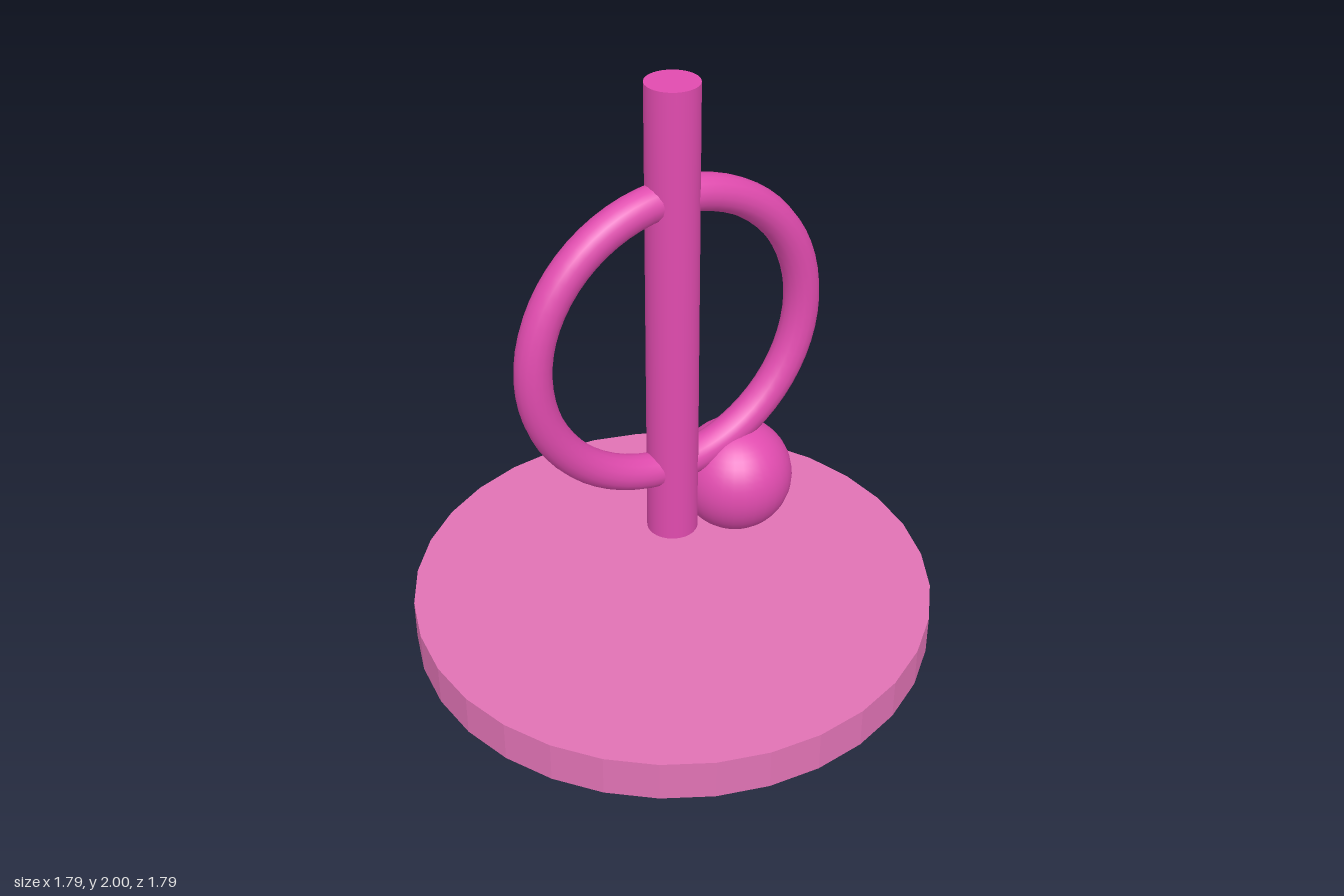
import * as THREE from 'three';

const brightPink = new THREE.MeshStandardMaterial({ color: 0xe04bae });
brightPink.name = 'brightPink';
const dustyPink = new THREE.MeshStandardMaterial({ color: 0xe072b4, flatShading: true });
dustyPink.name = 'dustyPink';

export function createModel() {
  const model = new THREE.Group();
  model.name = 'ringSculpture';

  const add = (name, geometry, material, x, y, z) => {
    const mesh = new THREE.Mesh(geometry, material);
    mesh.name = name;
    mesh.position.set(x, y, z);
    model.add(mesh);
  };

  // Faceted disc on the ground
  add('base', new THREE.CylinderGeometry(0.893, 0.893, 0.144, 32), dustyPink, 0, 0.072, 0);

  // Upright post, floating above the base
  add('post', new THREE.CylinderGeometry(0.086, 0.086, 1.615, 32), brightPink, 0, 1.1925, 0);

  // Upright ring threaded by the post
  add('ring', new THREE.TorusGeometry(0.497, 0.06, 16, 64), brightPink, 0, 1.13, 0);

  // Ball beside the foot of the post
  add('ball', new THREE.SphereGeometry(0.196, 32, 24), brightPink, 0.25, 0.506, 0);

  return model;
}
